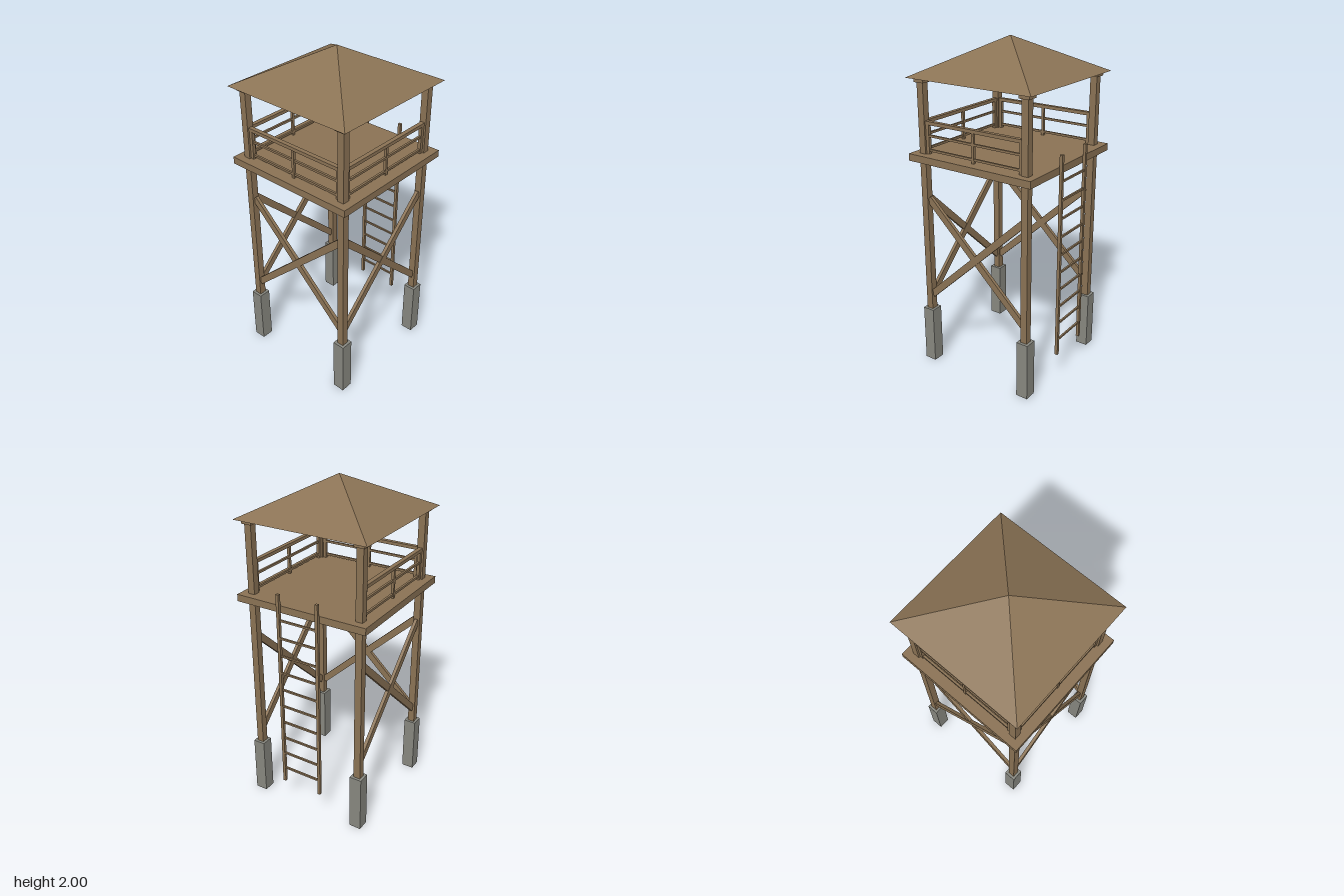
import * as THREE from 'three';

export function createModel() {
  const model = new THREE.Group();
  model.name = 'watchtower';
  const wood = new THREE.MeshStandardMaterial({ color: 0x8b7355 });
  wood.name = 'wood';
  const concrete = new THREE.MeshStandardMaterial({ color: 0x888880 });
  concrete.name = 'concrete';

  function box(parent, name, w, h, d, x, y, z, material = wood) {
    const mesh = new THREE.Mesh(new THREE.BoxGeometry(w, h, d), material);
    mesh.position.set(x, y, z);
    mesh.name = name;
    parent.add(mesh);
    return mesh;
  }

  // The tower sits slightly forward to leave room for the ladder
  const tower = new THREE.Group();
  tower.name = 'tower';
  tower.position.z = 0.008;
  model.add(tower);

  const P = 0.348; // distance of the posts from the axis

  // Footings, posts and post caps
  for (const sx of [-1, 1]) {
    for (const sz of [-1, 1]) {
      const x = sx * P, z = sz * P;
      box(tower, 'footing', 0.074, 0.357, 0.074, x, 0.1785, z, concrete);
      box(tower, 'post', 0.042, 1.42, 0.042, x, 1.06, z);
      box(tower, 'postCap', 0.064, 0.025, 0.064, x, 1.772, z);
    }
  }

  // Platform
  box(tower, 'platform', 0.828, 0.042, 0.828, 0, 1.333, 0);

  // Pyramid roof
  const roof = new THREE.Mesh(
    new THREE.ConeGeometry(0.413 * Math.SQRT2, 0.215, 4, 1).rotateY(Math.PI / 4).toNonIndexed(), wood);
  roof.geometry.computeVertexNormals();
  roof.position.y = 1.8925;
  roof.name = 'roof';
  tower.add(roof);

  // Cross braces and railings on the front and both sides; the ladder side is open
  for (const turn of [-1, 0, 1]) {
    const side = new THREE.Group();
    side.name = 'sideFrame';
    side.rotation.y = turn * Math.PI / 2;
    tower.add(side);

    for (const s of [-1, 1]) {
      const brace = box(side, 'brace', 0.91, 0.042, 0.02, 0, 0.768, P + s * 0.001);
      brace.rotation.z = s * Math.atan2(0.62, 0.656);
      box(side, 'railEndPost', 0.02, 0.175, 0.02, s * 0.317, 1.4395, P);
    }
    box(side, 'railMiddlePost', 0.016, 0.175, 0.016, 0, 1.4395, P);
    box(side, 'topRail', 0.656, 0.02, 0.026, 0, 1.535, P);
    for (const y of [1.376, 1.46]) box(side, 'lowerRail', 0.656, 0.013, 0.013, 0, y, P);
  }

  // Ladder at the back
  const ladder = new THREE.Group();
  ladder.name = 'ladder';
  ladder.position.z = -0.415;
  model.add(ladder);
  for (const s of [-1, 1]) box(ladder, 'ladderRail', 0.018, 1.24, 0.018, s * 0.125, 0.803, 0);
  for (let i = 0; i < 10; i++) box(ladder, 'rung', 0.24, 0.011, 0.011, 0, 0.28 + i * 0.11, 0);

  return model;
}
